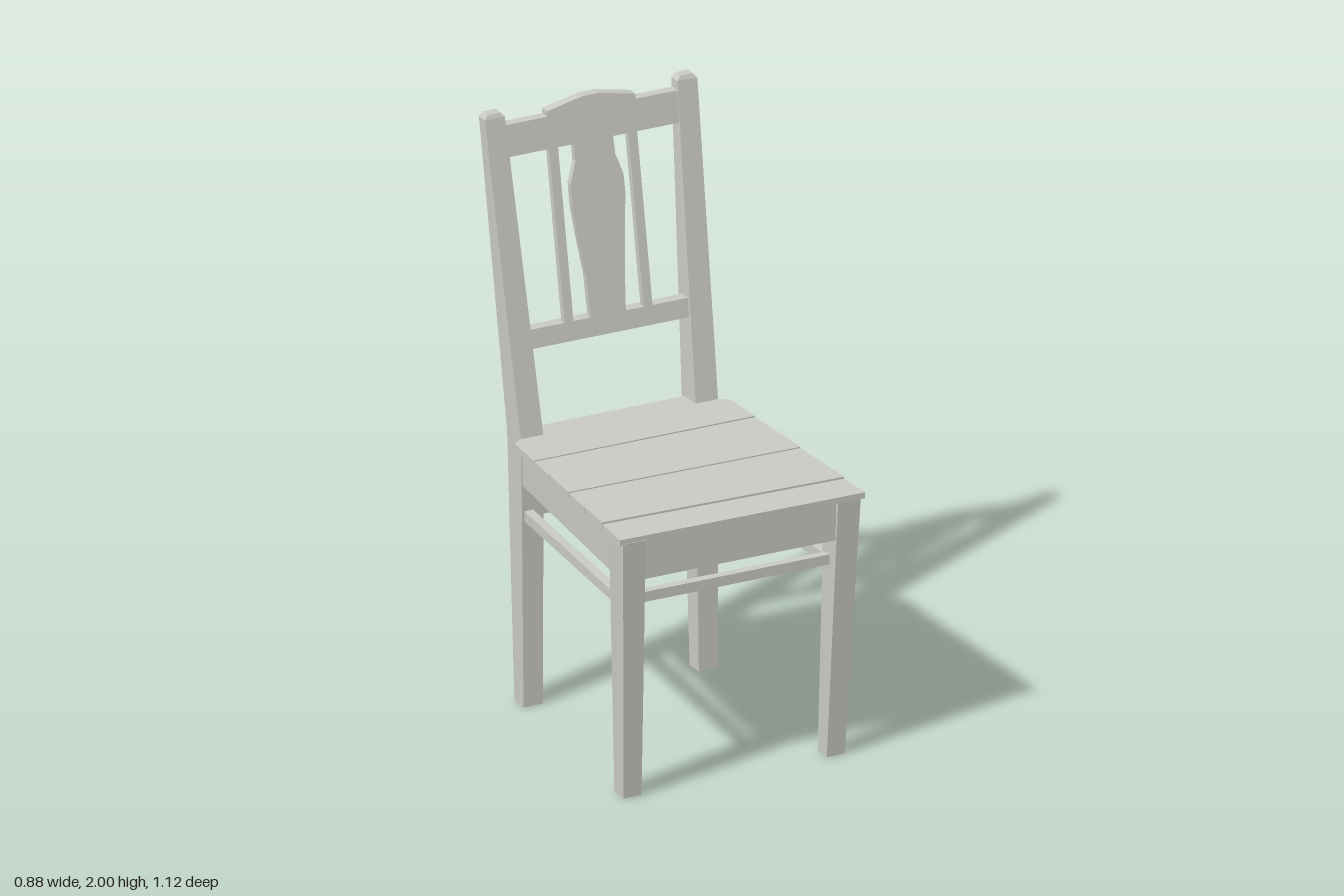
import * as THREE from 'three';

const paint = new THREE.MeshStandardMaterial({ color: 0xcacac4 });
paint.name = 'grey paint';
const wood = new THREE.MeshStandardMaterial({ color: 0x6b4c33 });
wood.name = 'bare wood';

// Four corners at height y: front, left, back, right sides in turn
const rect = (x0, x1, z0, z1, y) => [[x0, y, z1], [x1, y, z1], [x1, y, z0], [x0, y, z0]];

// Solid through rings that go counterclockwise seen from above.
// bare lists unpainted faces: a side number, 'bottom' or 'top'.
function loft(rings, bare = []) {
  const painted = [], raw = [];
  const n = rings[0].length;
  const put = (face, ...pts) => (bare.includes(face) ? raw : painted).push(...pts.flat());
  for (let k = 0; k + 1 < rings.length; k++) {
    const a = rings[k], b = rings[k + 1];
    for (let i = 0; i < n; i++) {
      const j = (i + 1) % n;
      put(i, a[i], a[j], b[j], a[i], b[j], b[i]);
    }
  }
  const low = rings[0], high = rings[rings.length - 1];
  const flat = low.map(([x, , z]) => new THREE.Vector2(x, -z));
  for (const [a, b, c] of THREE.ShapeUtils.triangulateShape(flat, [])) {
    put('bottom', low[c], low[b], low[a]);
    put('top', high[a], high[b], high[c]);
  }
  const g = new THREE.BufferGeometry();
  g.setAttribute('position', new THREE.Float32BufferAttribute([...painted, ...raw], 3));
  g.addGroup(0, painted.length / 3, 0);
  if (raw.length) g.addGroup(painted.length / 3, raw.length / 3, 1);
  g.computeVertexNormals();
  return g;
}

// Mirrors four-cornered rings across x, keeping the face order outward
const flip = rings => rings.map(r => [1, 0, 3, 2].map(i => [-r[i][0], r[i][1], r[i][2]]));
const flipFaces = bare => bare.map(f => (f === 1 ? 3 : f === 3 ? 1 : f));

// Front plane of the leaning back at height y
const LEAN = 0.1916;
const backZ = y => -0.315 - LEAN * (y - 0.93);

// Outline extruded to a thickness, then sheared to the lean of the back
function leaningPanel(points, depth, inset) {
  const shape = new THREE.Shape(points.map(p => new THREE.Vector2(...p)));
  const g = new THREE.ExtrudeGeometry(shape, { depth, bevelEnabled: false });
  const p = g.attributes.position;
  for (let i = 0; i < p.count; i++) p.setZ(i, p.getZ(i) - depth - inset + backZ(p.getY(i)));
  g.computeVertexNormals();
  return g;
}

export function createModel() {
  const chair = new THREE.Group();
  chair.name = 'chair';
  const add = (name, geometry, material = [paint, wood]) => {
    const m = new THREE.Mesh(geometry, material);
    m.name = name;
    chair.add(m);
  };
  const pair = (name, rings, bare = []) => {
    add('left' + name, loft(rings, bare));
    add('right' + name, loft(flip(rings), flipFaces(bare)));
  };

  // Legs
  pair('FrontLeg', [
    rect(0.335, 0.4, 0.43, 0.495, 0),
    rect(0.348, 0.43, 0.45, 0.55, 0.918),
  ], ['bottom']);
  pair('BackPost', [
    rect(0.282, 0.352, -0.372, -0.307, 0),
    rect(0.275, 0.356, -0.415, -0.315, 0.93),
    rect(0.281, 0.361, -0.437, backZ(1.1), 1.1),
    rect(0.312, 0.384, -0.56, backZ(1.985), 1.985),
    rect(0.325, 0.372, -0.557, -0.524, 2),
  ], ['bottom']);

  // Aprons, bare on the inside
  const A0 = 0.775, A1 = 0.919;
  add('frontApron', loft([A0, A1].map(y => rect(-0.36, 0.36, 0.505, 0.535, y)), [2, 'top']));
  add('backApron', loft([A0, A1].map(y => rect(-0.285, 0.285, -0.39, -0.36, y)), [0, 'top']));
  pair('SideApron', [A0, A1].map(y =>
    [[0.385, y, 0.47], [0.415, y, 0.47], [0.35, y, -0.33], [0.32, y, -0.33]]), [3, 'top']);

  // Stretchers
  add('frontStretcher', loft([0.675, 0.71].map(y => rect(-0.36, 0.36, 0.465, 0.495, y))));
  add('backStretcher', loft([0.65, 0.683].map(y => rect(-0.285, 0.285, -0.37, -0.34, y))));
  pair('SideStretcher', [0.65, 0.685].map(y =>
    [[0.36, y, 0.46], [0.392, y, 0.46], [0.345, y, -0.33], [0.313, y, -0.33]]));

  // Seat planks with slightly crooked joints: z at the right and left ends
  const half = z => 0.39 + 0.0585 * (z + 0.295);
  const joints = [[0.547, 0.56], [0.402, 0.427], [0.264, 0.276], [0.134, 0.148], [-0.02, -0.006], [-0.143, -0.141]];
  const lift = [-0.004, 0.001, -0.001, 0.001, -0.001];
  for (let i = 0; i < 5; i++) {
    const [fr, fl] = joints[i], [br, bl] = joints[i + 1].map(z => z + 0.004);
    add('seatPlank' + (i + 1), loft([0.917, 0.938].map(y => y + lift[i]).map(y =>
      [[-half(fr), y, fr], [half(fl), y, fl], [half(bl), y, bl], [-half(br), y, br]]), ['bottom']));
  }
  // Rear plank, notched around the posts
  const rear = [[0.4, -0.142], [0.39, -0.295], [0.355, -0.32], [0.273, -0.32], [0.273, -0.388]];
  const outline = [...rear, ...rear.map(([x, z]) => [-x, z]).reverse()];
  add('rearSeatPlank', loft([0.917, 0.939].map(y => outline.map(([x, z]) => [x, y, z])), ['bottom']));

  // Back: crest rail, lower rail, slats and shaped splat
  add('crestRail', leaningPanel([
    [-0.315, 1.85], [0.315, 1.85], [0.315, 1.955], [0.16, 1.955], [0.16, 1.972],
    [0.03, 1.998], [-0.03, 1.998], [-0.16, 1.972], [-0.16, 1.955], [-0.315, 1.955],
  ], 0.034, 0.004), paint);
  add('lowerRail', leaningPanel([[-0.29, 1.215], [0.29, 1.215], [0.29, 1.278], [-0.29, 1.278]], 0.04, 0.013), paint);
  for (const [name, s] of [['leftSlat', 1], ['rightSlat', -1]]) {
    const a = s * 0.143;
    add(name, leaningPanel([[a - 0.016, 1.27], [a + 0.016, 1.27], [a + 0.016, 1.86], [a - 0.016, 1.86]], 0.024, 0.012), paint);
  }
  add('splat', leaningPanel([
    [-0.065, 1.27], [0.062, 1.27], [0.071, 1.4], [0.088, 1.58], [0.098, 1.65], [0.097, 1.72],
    [0.074, 1.79], [0.072, 1.86], [-0.07, 1.86], [-0.07, 1.79], [-0.094, 1.72], [-0.095, 1.65],
    [-0.085, 1.55], [-0.068, 1.42],
  ], 0.022, 0.012), paint);

  return chair;
}
